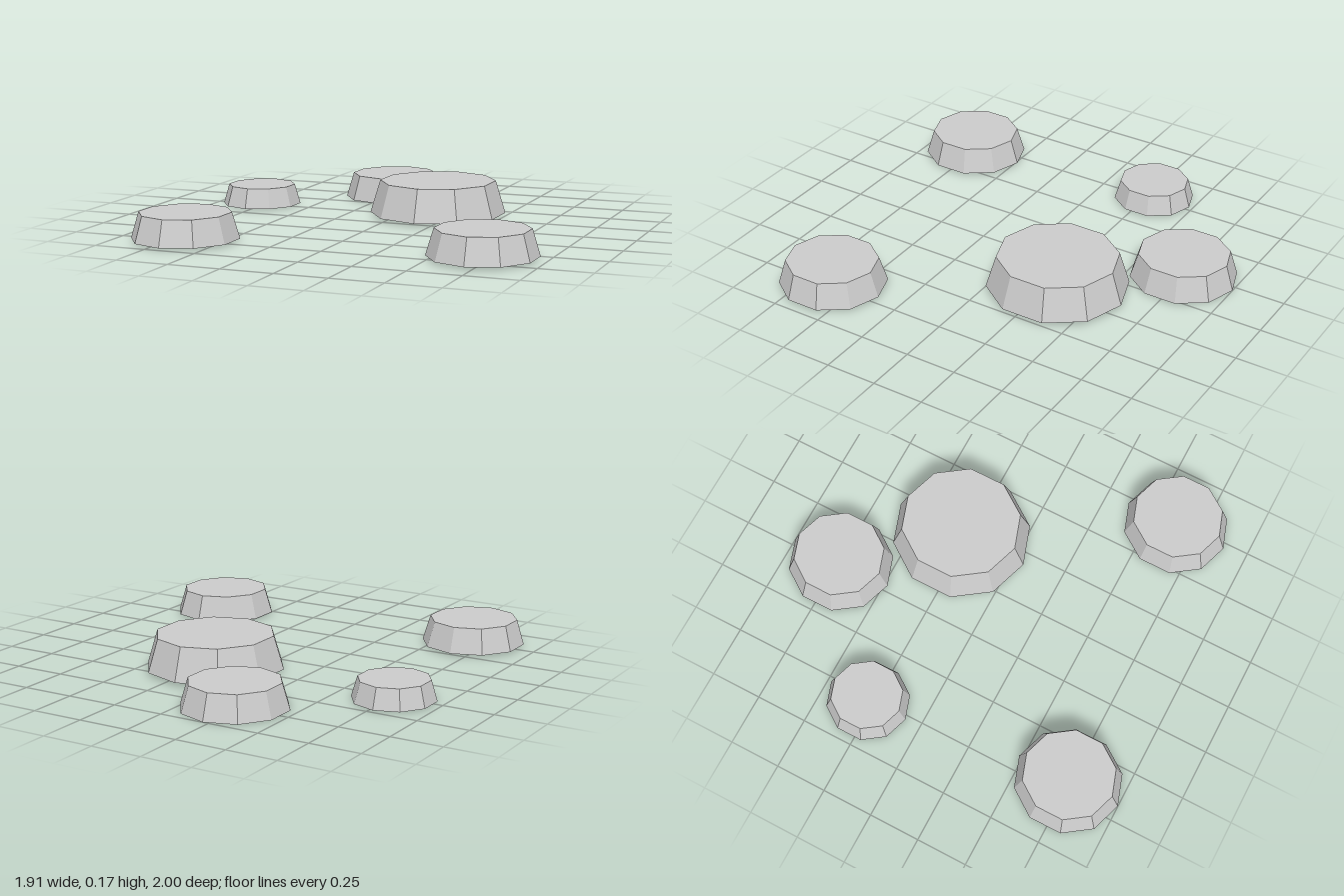
import * as THREE from 'three';

// One low stepping stone: a ten-sided slab with sloping sides, slightly narrower in x
function makeStone(name, x, z, base, radius, height, material) {
  const geometry = new THREE.CylinderGeometry(radius * 0.855, radius, height, 10);
  geometry.scale(0.97, 1, 1);
  geometry.translate(0, height / 2, 0);
  const stone = new THREE.Mesh(geometry, material);
  stone.name = name;
  stone.position.set(x, base, z);
  return stone;
}

export function createModel() {
  const group = new THREE.Group();
  group.name = 'steppingStones';
  const material = new THREE.MeshStandardMaterial({ color: 0xcccccc, flatShading: true });

  // name, x, z, base height, base radius, thickness
  const stones = [
    ['largeStone', 0.182, -0.286, 0.015, 0.342, 0.16],
    ['backStone', -0.22, -0.741, 0, 0.259, 0.123],
    ['smallStone', -0.772, -0.28, 0.003, 0.202, 0.098],
    ['frontRightStone', -0.678, 0.741, 0.01, 0.259, 0.123],
    ['frontLeftStone', 0.716, 0.625, 0.01, 0.259, 0.123],
  ];
  for (const stone of stones) group.add(makeStone(...stone, material));

  return group;
}
